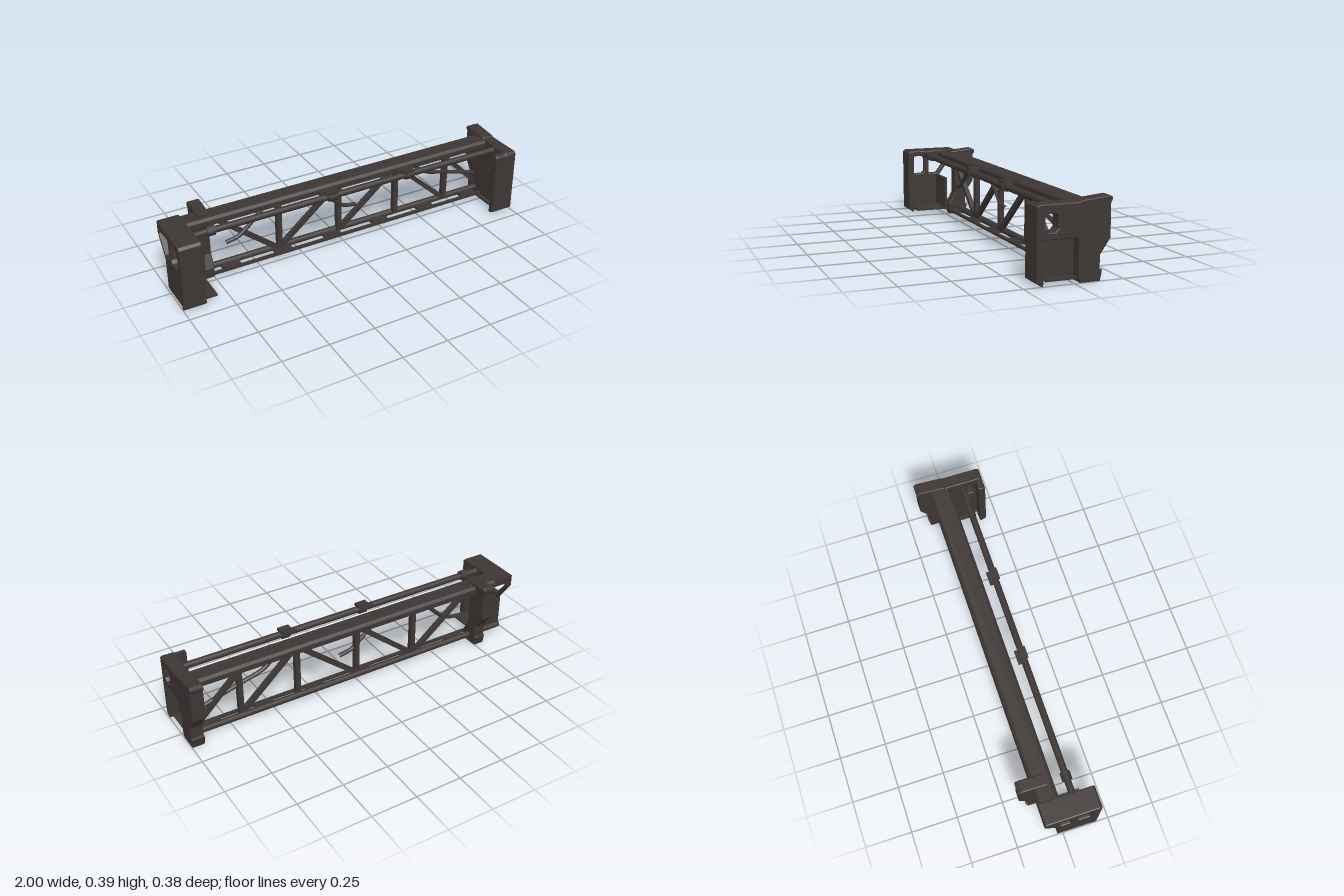
import * as THREE from 'three';

const darkSteel = new THREE.MeshStandardMaterial({ color: 0x3d3634 });

export function createModel() {
  const model = new THREE.Group();
  model.name = 'trussGantry';

  const add = (name, geometry) => {
    const mesh = new THREE.Mesh(geometry, darkSteel);
    mesh.name = name;
    model.add(mesh);
    return mesh;
  };

  // Box given by its limits on each axis
  const box = (name, x0, x1, y0, y1, z0, z1) => {
    const g = new THREE.BoxGeometry(x1 - x0, y1 - y0, z1 - z0);
    g.translate((x0 + x1) / 2, (y0 + y1) / 2, (z0 + z1) / 2);
    return add(name, g);
  };

  // Plate with an outline in [z, y], running from x0 to x1, with softened edges
  const plate = (name, x0, x1, outline, holes = [], bevel = 0.006) => {
    const shape = new THREE.Shape(outline.map(p => new THREE.Vector2(...p)));
    shape.holes = holes.map(h => new THREE.Path(h.map(p => new THREE.Vector2(...p))));
    const g = new THREE.ExtrudeGeometry(shape, {
      depth: x1 - x0 - 2 * bevel, bevelEnabled: true, bevelSize: bevel,
      bevelThickness: bevel, bevelOffset: -bevel, bevelSegments: 2,
    });
    g.rotateY(-Math.PI / 2).translate(x1 - bevel, 0, 0);
    return add(name, g);
  };

  // Window outline with cut corners
  const windowHole = (z0, z1, y0, y1, c = 0.015) => [
    [z0 + c, y0], [z1 - c, y0], [z1, y0 + c], [z1, y1 - c],
    [z1 - c, y1], [z0 + c, y1], [z0, y1 - c], [z0, y0 + c],
  ];

  // Straight or curved bar through points
  const tube = (name, points, radius, sides = 10, steps = 1) => {
    const curve = new THREE.CatmullRomCurve3(points.map(p => new THREE.Vector3(...p)));
    return add(name, new THREE.TubeGeometry(curve, steps, radius, sides));
  };

  // Top beam, bottom chord, slotted strip
  plate('topBeam', -0.99, 0.95, [
    [0, 0.335], [0, 0.362], [-0.014, 0.374], [-0.096, 0.374], [-0.11, 0.362], [-0.11, 0.335],
  ], [], 0.003);
  tube('bottomChord', [[-0.96, 0.045, -0.07], [0.96, 0.045, -0.07]], 0.017, 14);
  box('bottomStrip', -0.76, 0.94, 0.03, 0.042, -0.022, -0.004);
  for (let i = 0; i < 6; i++) {
    const x = -0.7 + i * 0.3;
    box('stripTie', x, x + 0.1, 0.03, 0.045, -0.07, -0.01);
  }

  // Truss verticals and diagonals
  const zT = -0.055;
  for (const x of [-0.36, 0, 0.36, 0.69]) {
    box('trussVertical', x - 0.014, x + 0.014, 0.045, 0.34, zT - 0.014, zT + 0.014);
  }
  const diagonals = [
    [-0.72, 0.335, -0.38, 0.055], [-0.35, 0.055, -0.01, 0.335],
    [0.01, 0.055, 0.35, 0.335], [0.37, 0.335, 0.68, 0.055], [0.66, 0.34, 0.9, 0.11],
  ];
  for (const [xa, ya, xb, yb] of diagonals) {
    const g = new THREE.BoxGeometry(Math.hypot(xb - xa, yb - ya), 0.025, 0.025);
    g.rotateZ(Math.atan2(yb - ya, xb - xa)).translate((xa + xb) / 2, (ya + yb) / 2, zT);
    add('trussDiagonal', g);
  }

  // Bent secondary braces
  const braces = [
    [[-0.44, 0.335], [-0.55, 0.23], [-0.6, 0.195], [-0.67, 0.18]],
    [[-0.15, 0.335], [-0.04, 0.25], [0.02, 0.2], [0.1, 0.183]],
    [[0.47, 0.325], [0.55, 0.262], [0.68, 0.225], [0.89, 0.165]],
  ];
  for (const b of braces) {
    tube('bentBrace', b.map(([x, y]) => [x, y, zT + 0.012]), 0.011, 8, 14);
  }

  // Front pipe with clamps
  tube('frontPipe', [[-0.95, 0.352, 0.07], [0.95, 0.352, 0.07]], 0.018, 16);
  for (const x of [-0.79, -0.11, 0.36]) {
    const g = new THREE.CylinderGeometry(0.027, 0.027, 0.042, 12);
    g.rotateZ(Math.PI / 2).translate(x, 0.353, 0.07);
    add('pipeClamp', g);
    if (x > -0.5) {
      box('clampCap', x - 0.035, x + 0.03, 0.368, 0.383, 0.052, 0.092);
      box('clampTab', x - 0.055, x + 0.02, 0.362, 0.377, 0.033, 0.055);
    }
  }

  // Large end panel with window and a recessed bay
  plate('endPanel', 0.93, 1, [
    [0.188, 0.02], [0.188, 0.365], [0.176, 0.377], [-0.025, 0.377], [-0.03, 0.384],
    [-0.17, 0.397], [-0.188, 0.388], [-0.188, 0.375], [-0.18, 0.365], [-0.18, 0.2],
    [-0.128, 0.125], [-0.128, 0.06], [-0.14, 0.055], [-0.13, 0.003], [-0.03, 0.003],
    [-0.02, 0.025], [-0.02, 0.212], [0.155, 0.212], [0.155, 0.003],
  ], [windowHole(0.083, 0.146, 0.248, 0.332)]);
  box('bayWall', 0.925, 0.945, 0.022, 0.22, -0.025, 0.16);
  box('bayFloor', 0.9, 0.985, 0.02, 0.03, -0.02, 0.135);
  plate('endFrontPost', 0.87, 0.995, [
    [0.188, 0.02], [0.188, 0.362], [0.176, 0.372], [0.15, 0.372], [0.15, 0.01], [0.16, 0.003],
  ]);

  // Rear hanger post
  plate('rearHanger', -0.81, -0.745, [
    [-0.035, 0.384], [-0.17, 0.397], [-0.188, 0.388], [-0.188, 0.37], [-0.18, 0.36],
    [-0.18, 0.2], [-0.128, 0.125], [-0.128, 0.06], [-0.14, 0.055], [-0.13, 0.003],
    [-0.03, 0.003], [-0.025, 0.06], [-0.06, 0.13], [-0.06, 0.27], [-0.035, 0.33],
  ]);

  // Open end frame with two windows
  plate('frameSide', -1, -0.965, [
    [0.188, 0.02], [0.188, 0.365], [0.176, 0.377], [-0.11, 0.377], [-0.11, 0.31],
    [-0.03, 0.2], [-0.03, 0.02], [0.155, 0.02], [0.165, 0.003],
  ], [
    windowHole(0.06, 0.147, 0.225, 0.335),
    [[-0.02, 0.225], [0.03, 0.225], [0.03, 0.335], [-0.09, 0.335], [-0.09, 0.315]],
  ]);
  plate('frameTop', -1, -0.88, [
    [0.188, 0.335], [0.188, 0.365], [0.176, 0.377], [-0.11, 0.377], [-0.11, 0.345], [0.15, 0.345],
  ]);
  plate('frameFrontPost', -1, -0.88, [
    [0.188, 0.02], [0.188, 0.362], [0.176, 0.374], [0.153, 0.374], [0.153, 0.01], [0.163, 0.003],
  ]);

  // Tray between the frame and the hanger
  box('trayBackWall', -0.985, -0.8, 0.02, 0.215, -0.03, -0.015);
  box('trayFloor', -0.985, -0.81, 0.02, 0.032, -0.03, 0.155);
  return model;
}
